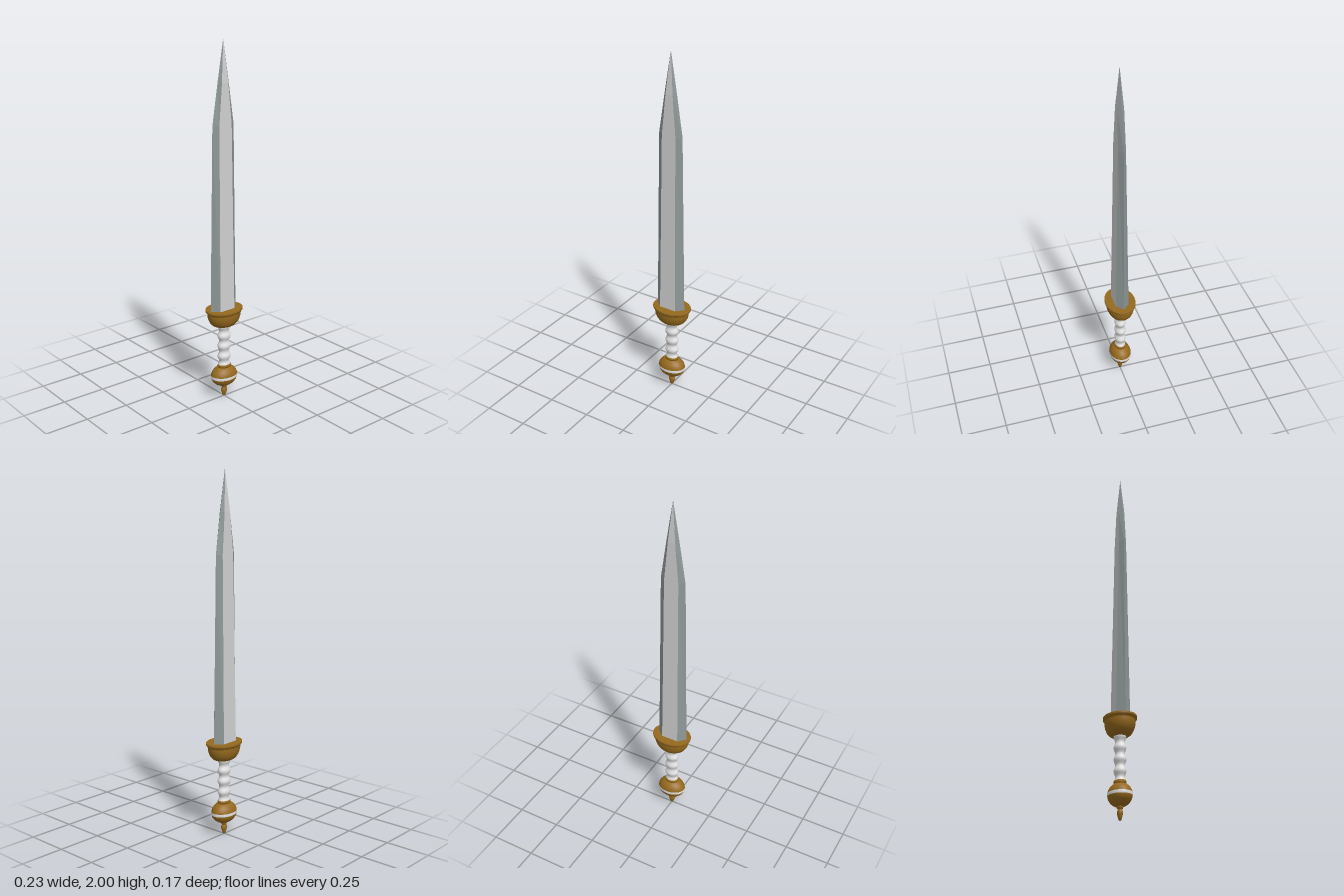
import * as THREE from 'three';

const mat = (name, color) => {
  const m = new THREE.MeshStandardMaterial({ color });
  m.name = name;
  return m;
};

export function createModel() {
  const group = new THREE.Group();
  group.name = 'sword';
  const steel = mat('light steel', 0xcfcfd0);
  const edgeSteel = mat('edge steel', 0x8f9898);
  const bronze = mat('bronze', 0x966a1e);
  const ivory = mat('ivory', 0xe2e2e2);

  const add = (name, geometry, material) => {
    const mesh = new THREE.Mesh(geometry, material);
    mesh.name = name;
    group.add(mesh);
    return mesh;
  };

  // Oval turned part: smooth profile of [radius, y], squashed along z
  const turned = (name, points, material, squash) => {
    const geo = new THREE.LatheGeometry(points.map(([r, y]) => new THREE.Vector2(r, y)), 40);
    geo.scale(1, 1, squash);
    geo.computeVertexNormals();
    return add(name, geo, material);
  };

  // Blade sections: y, centre x, half width, half flat width, half thickness
  const sections = [
    [0.52, -0.006, 0.088, 0.049, 0.038],
    [1.56, -0.007, 0.071, 0.041, 0.021],
    [1.78, -0.0065, 0.037, 0.021, 0.017],
    [2.0, -0.006, 0.0005, 0.0003, 0.0003],
  ];
  const ring = ([y, c, w, f, t]) => [
    [c + w, y, 0], [c + f, y, t], [c - f, y, t],
    [c - w, y, 0], [c - f, y, -t], [c + f, y, -t],
  ];
  const flats = [], bevels = [];
  for (let s = 0; s < sections.length - 1; s++) {
    const a = ring(sections[s]), b = ring(sections[s + 1]);
    for (let i = 0; i < 6; i++) {
      const j = (i + 1) % 6;
      const out = i % 3 === 1 ? flats : bevels;
      // ring runs from +x toward +z, so wind the quads to face outward
      out.push(...a[i], ...b[i], ...b[j], ...a[i], ...b[j], ...a[j]);
    }
  }
  const facets = (positions) => {
    const geo = new THREE.BufferGeometry();
    geo.setAttribute('position', new THREE.Float32BufferAttribute(positions, 3));
    geo.computeVertexNormals();
    return geo;
  };
  add('bladeFlats', facets(flats), steel);
  add('bladeBevels', facets(bevels), edgeSteel);

  // Guard: rounded bowl, flared lip and flat top
  const bowl = [[0, 0.432], [0.04, 0.432]];
  for (let i = 0; i <= 10; i++) {
    const a = (i / 10) * Math.PI / 2;
    bowl.push([0.045 + 0.057 * Math.sin(a), 0.513 - 0.078 * Math.cos(a)]);
  }
  turned('guardBowl', bowl, bronze, 0.77);
  turned('guardLip', [[0.1, 0.51], [0.105, 0.521], [0.113, 0.526]], bronze, 0.765);
  turned('guardRim', [[0.113, 0.526], [0.113, 0.536]], bronze, 0.765);
  turned('guardTop', [[0.113, 0.536], [0, 0.536]], bronze, 0.765);

  // Grip with finger swells
  const grip = [];
  for (let i = 0; i <= 48; i++) {
    const y = 0.195 + (0.245 * i) / 48;
    grip.push([0.035 + 0.005 * Math.cos(((y - 0.25) / 0.061) * Math.PI * 2), y]);
  }
  turned('grip', grip, ivory, 0.8);

  // Collar and pommel
  turned('collar', [[0, 0.184], [0.039, 0.184], [0.041, 0.192], [0.038, 0.201], [0, 0.201]], bronze, 0.8);
  const pommelArc = (from, to, grow = 0) => {
    const pts = [];
    for (let i = 0; i <= 16; i++) {
      const a = from + ((to - from) * i) / 16;
      pts.push([(0.081 + grow) * Math.cos(a), 0.13 + 0.062 * Math.sin(a)]);
    }
    return pts;
  };
  turned('pommel', pommelArc(-Math.PI / 2, Math.PI / 2), bronze, 0.77);
  turned('pommelBand', pommelArc(-0.13, 0.13, 0.0015), ivory, 0.77);

  // Finial under the pommel
  turned('finial', [
    [0, 0], [0.008, 0.003], [0.013, 0.016], [0.018, 0.034], [0.019, 0.044],
    [0.014, 0.052], [0.013, 0.057], [0.019, 0.062], [0.021, 0.07], [0.018, 0.08],
  ], bronze, 0.8);

  return group;
}
